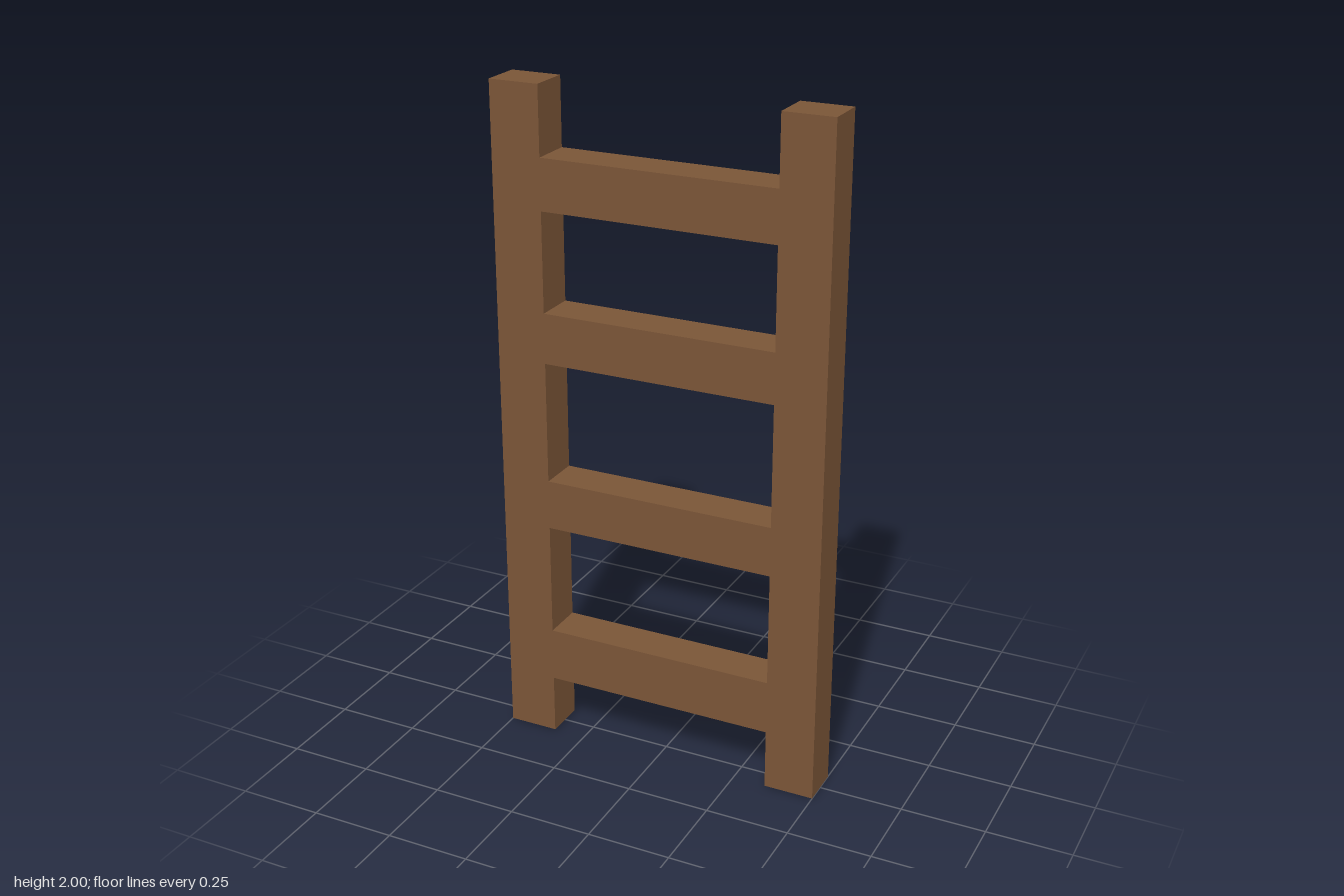
import * as THREE from 'three';

const DEPTH = 0.125;
const RAIL_WIDTH = 0.15;
const INNER_WIDTH = 0.7;

export function createModel() {
  const ladder = new THREE.Group();
  ladder.name = 'ladder';
  const wood = new THREE.MeshStandardMaterial({ color: 0x7a5537 });

  const addBeam = (name, width, bottom, top, x) => {
    const beam = new THREE.Mesh(new THREE.BoxGeometry(width, top - bottom, DEPTH), wood);
    beam.name = name;
    beam.position.set(x, (bottom + top) / 2, 0);
    ladder.add(beam);
  };

  // Upright side rails
  const railX = (INNER_WIDTH + RAIL_WIDTH) / 2;
  addBeam('leftRail', RAIL_WIDTH, 0, 2, railX);
  addBeam('rightRail', RAIL_WIDTH, 0, 2, -railX);

  // Rungs fitted between the rails: [bottom, top]
  const rungs = [[0.183, 0.347], [0.69, 0.84], [1.205, 1.355], [1.65, 1.8]];
  rungs.forEach(([bottom, top], i) => addBeam(`rung${i + 1}`, INNER_WIDTH, bottom, top, 0));

  return ladder;
}
